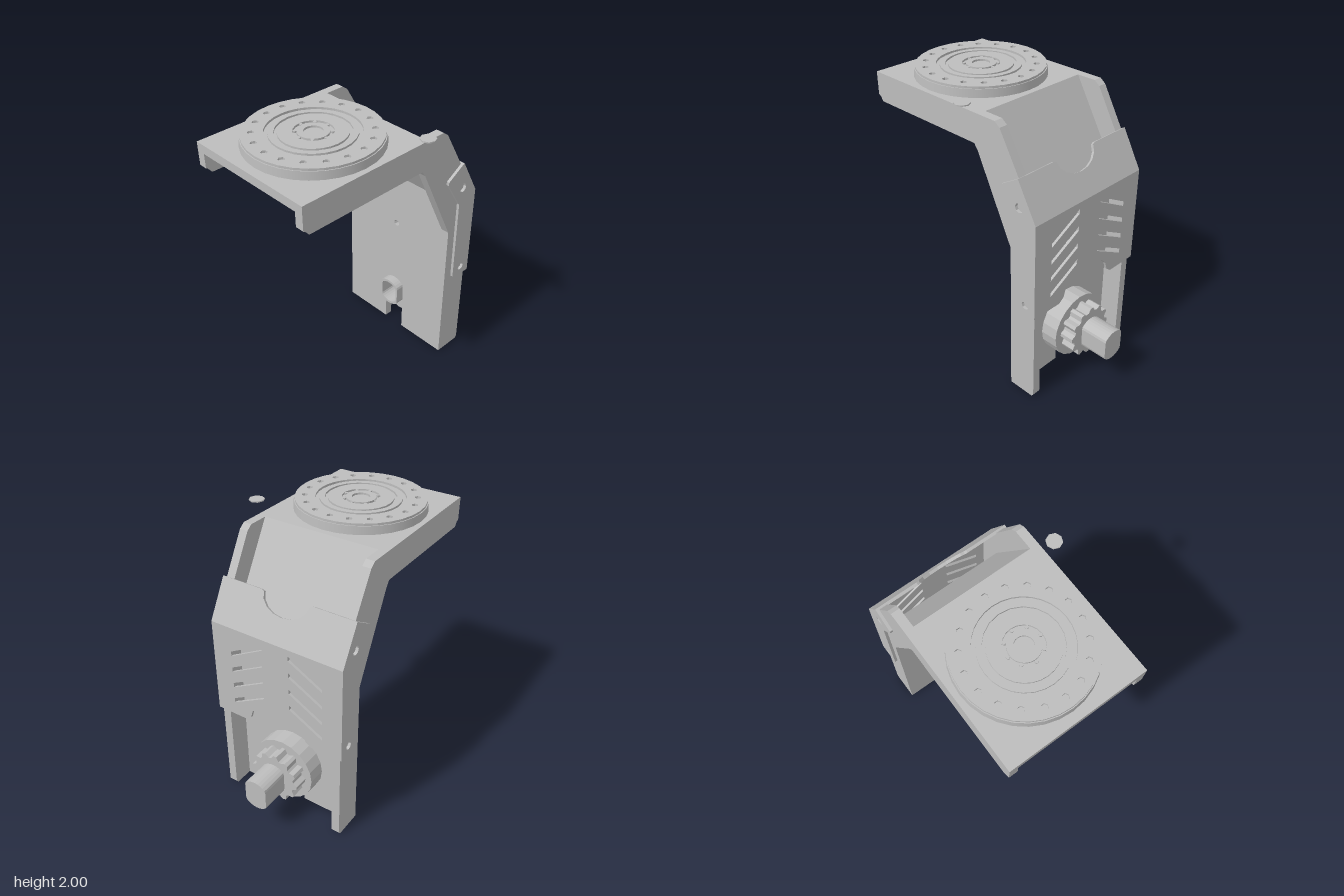
import * as THREE from 'three';

const CX = -0.045; // middle of the arm in x

export function createModel() {
  const model = new THREE.Group();
  const grey = new THREE.MeshStandardMaterial({ color: 0xbdbdbd });
  grey.name = 'grey metal';

  const add = (name, geo, x = 0, y = 0, z = 0) => {
    const m = new THREE.Mesh(geo, grey);
    m.name = name;
    m.position.set(x, y, z);
    model.add(m);
    return m;
  };
  const poly = (pts) => new THREE.Shape(pts.map(([a, b]) => new THREE.Vector2(a, b)));
  const circle = (r, x = 0, y = 0, n = 12) => {
    const pts = [];
    for (let i = 0; i < n; i++) {
      const a = (i / n) * Math.PI * 2;
      pts.push([x + r * Math.cos(a), y + r * Math.sin(a)]);
    }
    return poly(pts);
  };
  const extrude = (shape, depth) =>
    new THREE.ExtrudeGeometry(shape, { depth, bevelEnabled: false, curveSegments: 12 });
  // side profile given as [z, y], extruded along x from x0
  const side = (pts, x0, width, holes = []) => {
    const s = poly(pts.map(([z, y]) => [-z, y]));
    s.holes.push(...holes.map(([z, y, r]) => circle(r, -z, y, 8)));
    return extrude(s, width).rotateY(Math.PI / 2).translate(x0, 0, 0);
  };
  // flat shape seen from above, extruded upwards
  const slab = (shape, h) => extrude(shape, h).rotateX(-Math.PI / 2);
  const ringHoles = (shape, n, radius, r, y = 0) => {
    for (let i = 0; i < n; i++) {
      const a = ((i + 0.5) / n) * Math.PI * 2;
      shape.holes.push(circle(r, radius * Math.cos(a), y + radius * Math.sin(a), 6));
    }
    return shape;
  };

  // side flanges
  const flange = [
    [0.87, 1.93], [0.87, 1.77], [0.85, 1.76], [0.83, 1.73], [-0.07, 1.73], [-0.1, 1.69],
    [-0.375, 1.12], [-0.375, 0], [-0.57, 0], [-0.585, 0.02], [-0.585, 1.39],
    [-0.29, 1.9], [-0.25, 1.93],
  ];
  add('rightFlange', side(flange, -0.52, 0.06));
  add('leftFlange', side(flange, 0.37, 0.06));

  // top plate with ring of bolt holes
  const DZ = 0.37; // turntable centre in z
  const top = poly([[-0.415, -0.87], [0.415, -0.87], [0.415, 0.11], [-0.415, 0.11]]);
  ringHoles(top, 18, 0.365, 0.018, -DZ);
  add('topPlate', slab(top, 0.06), CX, 1.87, 0);
  add('undersideDisc', slab(ringHoles(circle(0.29, 0, 0, 28), 8, 0.12, 0.02), 0.012), CX, 1.86, DZ);

  // recessed sloping panel
  add('slopePanel', side([
    [-0.11, 1.93], [-0.435, 1.38], [-0.435, 1.3], [-0.375, 1.3], [-0.375, 1.36], [-0.075, 1.87],
  ], -0.46, 0.83));

  // upright plate, with an open slot and a small hole
  const upright = poly([
    [-0.415, 0], [-0.085, 0], [-0.085, 0.34], [-0.05, 0.42], [0.05, 0.42], [0.085, 0.34],
    [0.085, 0], [0.415, 0], [0.415, 1.3], [-0.415, 1.3],
  ]);
  upright.holes.push(circle(0.024, 0, 0.96, 8));
  add('uprightPlate', extrude(upright, 0.06), CX, 0, -0.435);

  // rear cover: vent panel
  const vent = [[-0.495, 0.69], [-0.26, 0.69]];
  for (let i = 0; i <= 8; i++) {
    const a = Math.PI * (1 - i / 8);
    vent.push([0.22 * Math.cos(a), 0.72 + 0.15 * Math.sin(a)]);
  }
  vent.push([0.26, 0.69], [0.495, 0.69], [0.495, 1.38], [-0.495, 1.38]);
  const ventShape = poly(vent);
  for (const s of [-1, 1]) {
    for (let i = 0; i < 4; i++) {
      const y = 1.25 - i * 0.125;
      ventShape.holes.push(poly([
        [s * 0.1, y + 0.085], [s * 0.1, y + 0.05], [s * 0.35, y - 0.085], [s * 0.35, y - 0.05],
      ]));
    }
  }
  add('ventPanel', extrude(ventShape, 0.018), CX, 0, -0.602);

  // rear cover: sloping top with rounded notch
  const cap = [[-0.495, 0], [0.495, 0], [0.495, 0.298], [0.19, 0.298]];
  for (let i = 0; i <= 8; i++) {
    const a = (Math.PI * i) / 8;
    cap.push([0.17 * Math.cos(a), 0.29 - 0.12 * Math.sin(a)]);
  }
  cap.push([-0.19, 0.298], [-0.495, 0.298]);
  add('coverSlope', extrude(poly(cap), 0.02), CX, 1.38, -0.602)
    .rotation.x = Math.atan2(0.145, 0.26);

  // rear cover: side tabs
  const tab = [
    [-0.455, 1.64], [-0.315, 1.555], [-0.315, 1.53], [-0.44, 1.33], [-0.44, 0.71],
    [-0.46, 0.69], [-0.6, 0.69], [-0.6, 1.38],
  ];
  const tabHoles = [[-0.465, 1.45, 0.032], [-0.52, 0.76, 0.028]];
  add('rightCoverTab', side(tab, -0.54, 0.02, tabHoles));
  add('leftCoverTab', side(tab, 0.43, 0.02, tabHoles));

  // turntable: drum, perforated rim, raised rings and hub
  add('turntableDrum', new THREE.CylinderGeometry(0.436, 0.44, 0.055, 32), CX, 1.9575, DZ);
  const rim = ringHoles(circle(0.43, 0, 0, 32), 18, 0.365, 0.022);
  rim.holes.push(circle(0.295, 0, 0, 32));
  add('turntableRim', slab(rim, 0.02), CX, 1.98, DZ);
  for (const [outer, inner] of [[0.27, 0.235], [0.215, 0.125], [0.1, 0.06]]) {
    const ring = circle(outer, 0, 0, 28);
    ring.holes.push(circle(inner, 0, 0, 20));
    add('turntableRing', slab(ring, 0.018), CX, 1.98, DZ);
  }
  for (let i = 0; i < 8; i++) {
    const a = (i / 8) * Math.PI * 2;
    add('hubBolt', new THREE.CylinderGeometry(0.012, 0.012, 0.018, 6),
      CX + 0.112 * Math.cos(a), 1.988, DZ + 0.112 * Math.sin(a));
  }

  // loose washer beside the turntable
  add('washer', new THREE.CylinderGeometry(0.052, 0.052, 0.008, 8), 0.487, 1.996, -0.04);

  // motor housing, gear and flat-sided shaft
  const SY = 0.34;
  add('motorHousing', extrude(circle(0.235, 0, 0, 20), 0.125), CX, SY, -0.56);
  const teeth = [];
  for (let i = 0; i < 48; i++) {
    const a = (i / 48) * Math.PI * 2;
    const r = i % 4 < 2 ? 0.186 : 0.158;
    teeth.push([r * Math.cos(a), r * Math.sin(a)]);
  }
  add('gear', extrude(poly(teeth), 0.1), CX, SY + 0.005, -0.662);
  const flatSided = (r, w) => {
    const pts = [];
    for (let i = 0; i < 32; i++) {
      const a = (i / 32) * Math.PI * 2;
      pts.push([Math.max(-w, Math.min(w, r * Math.cos(a))), r * Math.sin(a)]);
    }
    return poly(pts);
  };
  add('shaft', extrude(flatSided(0.11, 0.083), 0.43), CX, SY, -0.865);
  const sleeve = flatSided(0.11, 0.084);
  sleeve.holes.push(flatSided(0.09, 0.07));
  add('frontSleeve', extrude(sleeve, 0.125), CX, SY, -0.437);

  return model;
}
